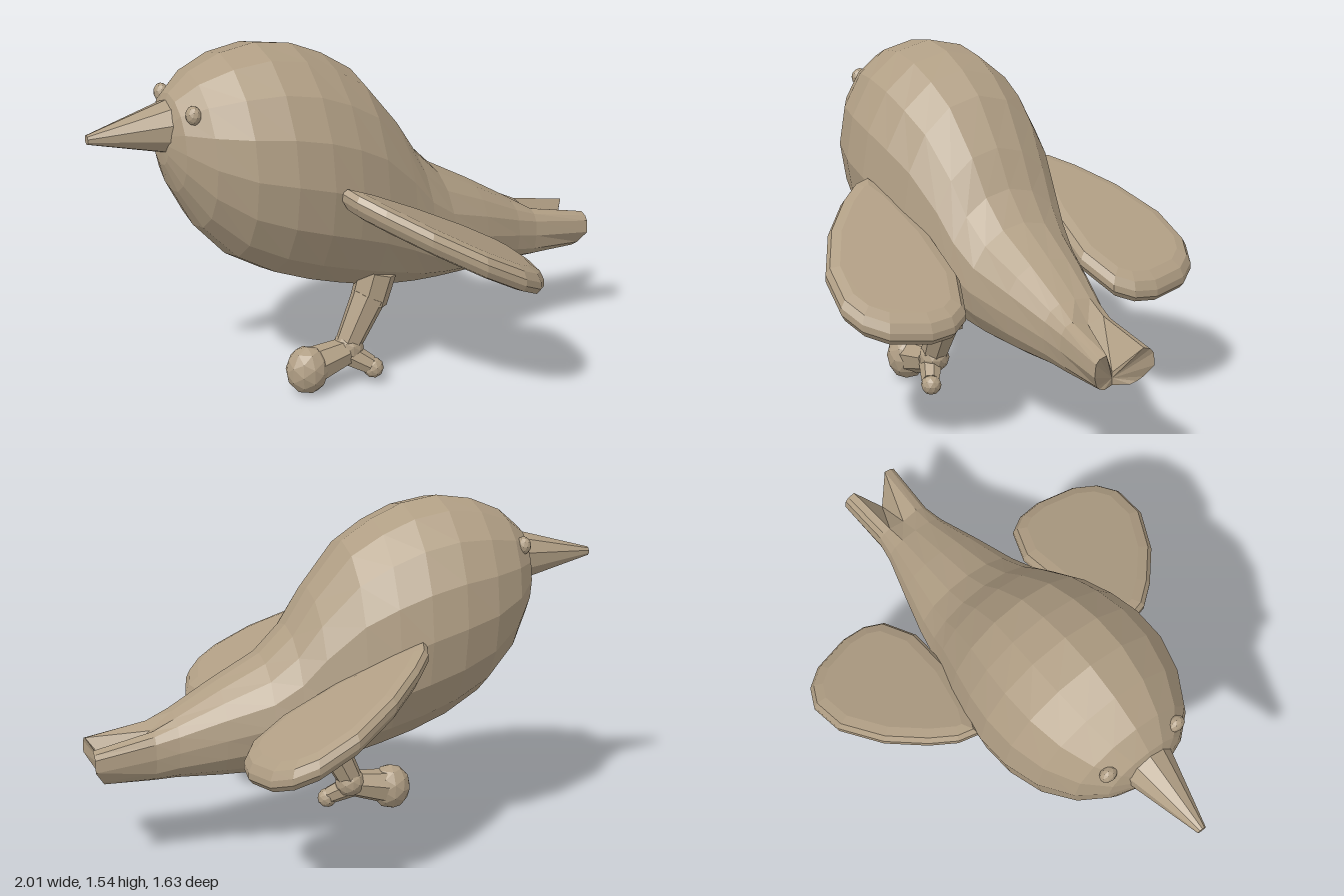
import * as THREE from 'three';

const material = new THREE.MeshStandardMaterial({ color: 0xb09e84, flatShading: true });
material.name = 'warm clay';

function part(name, geometry, parent) {
  const mesh = new THREE.Mesh(geometry, material);
  mesh.name = name;
  parent.add(mesh);
  return mesh;
}

// Tapered low-poly cylinder between two points
function limb(name, a, b, ra, rb, parent, sides = 7) {
  const from = new THREE.Vector3(...a), to = new THREE.Vector3(...b);
  const dir = to.clone().sub(from);
  const mesh = part(name, new THREE.CylinderGeometry(rb, ra, dir.length(), sides), parent);
  mesh.position.copy(from).add(to).multiplyScalar(0.5);
  mesh.quaternion.setFromUnitVectors(new THREE.Vector3(0, 1, 0), dir.normalize());
  return mesh;
}

function knob(name, p, radius, parent, scale = [1, 1, 1]) {
  const mesh = part(name, new THREE.IcosahedronGeometry(radius, 1), parent);
  mesh.position.set(...p);
  mesh.scale.set(...scale);
  return mesh;
}

// Body and forked tail: cross-sections
// [z, bottom, top, half width, squareness, groove depth, notch, underside taper]
function bodyGeometry() {
  const stations = [
    [0.95, 1.08, 1.29, 0.09, 1, 0, 0, 0],
    [0.91, 0.96, 1.38, 0.19, 1, 0, 0, 0],
    [0.82, 0.79, 1.46, 0.295, 1, 0, 0, 0],
    [0.68, 0.635, 1.52, 0.38, 1, 0, 0, 0],
    [0.52, 0.54, 1.545, 0.425, 1, 0, 0, 0],
    [0.36, 0.475, 1.52, 0.43, 1, 0, 0, 0],
    [0.22, 0.43, 1.46, 0.41, 1, 0, 0, 0],
    [0.08, 0.39, 1.37, 0.375, 1, 0, 0, 0],
    [-0.08, 0.365, 1.17, 0.325, 1, 0, 0, 0],
    [-0.18, 0.358, 1.01, 0.3, 1, 0, 0, 0],
    [-0.3, 0.355, 0.89, 0.27, 1, 0, 0, 0],
    [-0.5, 0.36, 0.78, 0.213, 0.9, 0, 0, 0],
    [-0.7, 0.37, 0.66, 0.153, 0.75, 0, 0, 0.05],
    [-0.8, 0.37, 0.61, 0.135, 0.6, 0.03, 0, 0.1],
    [-1.07, 0.375, 0.55, 0.145, 0.5, 0.12, 0.09, 0.3],
  ];
  const n = 16, pos = [], index = [];
  const bend = (v, p) => Math.sign(v) * Math.abs(v) ** p;
  for (const [z, bottom, top, w, p, groove, notch, taper] of stations) {
    for (let j = 0; j < n; j++) {
      const t = (j / n) * Math.PI * 2;
      const x = bend(Math.cos(t), p), s = bend(Math.sin(t), p);
      const mid = Math.max(0, 1 - Math.abs(x) / 0.6), low = Math.max(0, -s);
      const y = (bottom + top) / 2 + (s * (top - bottom)) / 2 - (s > 0 ? groove * mid : 0);
      pos.push(x * w * (1 - taper * low), y, z + notch * Math.max(mid, low * 0.6));
    }
  }
  const last = (stations.length - 1) * n;
  const front = pos.length / 3, back = front + 1;
  pos.push(0, 1.19, 0.96, 0, 0.405, -0.98);
  for (let j = 0; j < n; j++) {
    const k = (j + 1) % n;
    for (let i = 0; i < last; i += n) {
      index.push(i + j, i + n + j, i + k, i + k, i + n + j, i + n + k);
    }
    index.push(front, j, k, back, last + k, last + j);
  }
  const g = new THREE.BufferGeometry();
  g.setAttribute('position', new THREE.Float32BufferAttribute(pos, 3));
  g.setIndex(index);
  g.computeVertexNormals();
  return g;
}

// Paddle-shaped wing: bevelled outline, sheared to slope down toward the tail
function wingGeometry(side) {
  const outline = [
    [0.42, 0.33], [0.505, 0.305], [0.605, 0.226], [0.74, 0.08], [0.848, -0.115], [0.865, -0.29],
    [0.82, -0.39], [0.732, -0.46], [0.56, -0.505], [0.45, -0.495], [0.37, -0.445],
    [0.305, -0.283], [0.31, -0.034], [0.36, 0.2],
  ].map(([x, z]) => new THREE.Vector2(side * x, -z));
  const g = new THREE.ExtrudeGeometry(new THREE.Shape(outline), {
    depth: 0.03, bevelEnabled: true, bevelThickness: 0.043, bevelSize: 0.06,
    bevelOffset: -0.06, bevelSegments: 2,
  });
  g.rotateX(-Math.PI / 2);
  const p = g.attributes.position;
  for (let i = 0; i < p.count; i++) {
    p.setY(i, p.getY(i) + 0.798 - 0.03 * Math.abs(p.getX(i)) + 0.515 * p.getZ(i));
  }
  g.computeVertexNormals();
  return g;
}

export function createModel() {
  const model = new THREE.Group();
  model.name = 'bird';

  // Upper bird, turned to face diagonally
  const turn = -0.963;
  const upper = new THREE.Group();
  upper.name = 'upperBird';
  upper.rotation.y = turn;
  upper.position.set(0.085 * Math.cos(turn), 0, -0.085 * Math.sin(turn));
  model.add(upper);

  part('body', bodyGeometry(), upper);
  limb('beak', [0, 1.24, 0.87], [0, 1.235, 1.265], 0.128, 0.02, upper, 10);
  for (const side of [1, -1]) {
    const label = side > 0 ? 'left' : 'right';
    part(label + 'Wing', wingGeometry(side), upper);
    knob(label + 'Eye', [side * 0.175, 1.33, 0.872], 0.045, upper, [0.9, 0.9, 0.7]);
  }

  // Single leg with a rounded front foot and a short rear toe
  const leg = new THREE.Group();
  leg.name = 'leg';
  model.add(leg);
  limb('thigh', [0.08, 0.36, 0.255], [0.115, 0.5, 0.235], 0.084, 0.088, leg);
  limb('shin', [0.0, 0.18, 0.32], [0.085, 0.39, 0.26], 0.06, 0.08, leg);
  knob('ankle', [0.0, 0.165, 0.32], 0.07, leg);
  limb('instep', [-0.01, 0.15, 0.34], [-0.13, 0.12, 0.43], 0.062, 0.082, leg);
  knob('frontFoot', [-0.158, 0.11, 0.46], 0.1, leg, [0.95, 1.08, 0.95]);
  limb('rearToe', [0.0, 0.14, 0.335], [0.1, 0.085, 0.325], 0.055, 0.042, leg);
  knob('rearToeTip', [0.112, 0.072, 0.322], 0.046, leg);

  return model;
}
